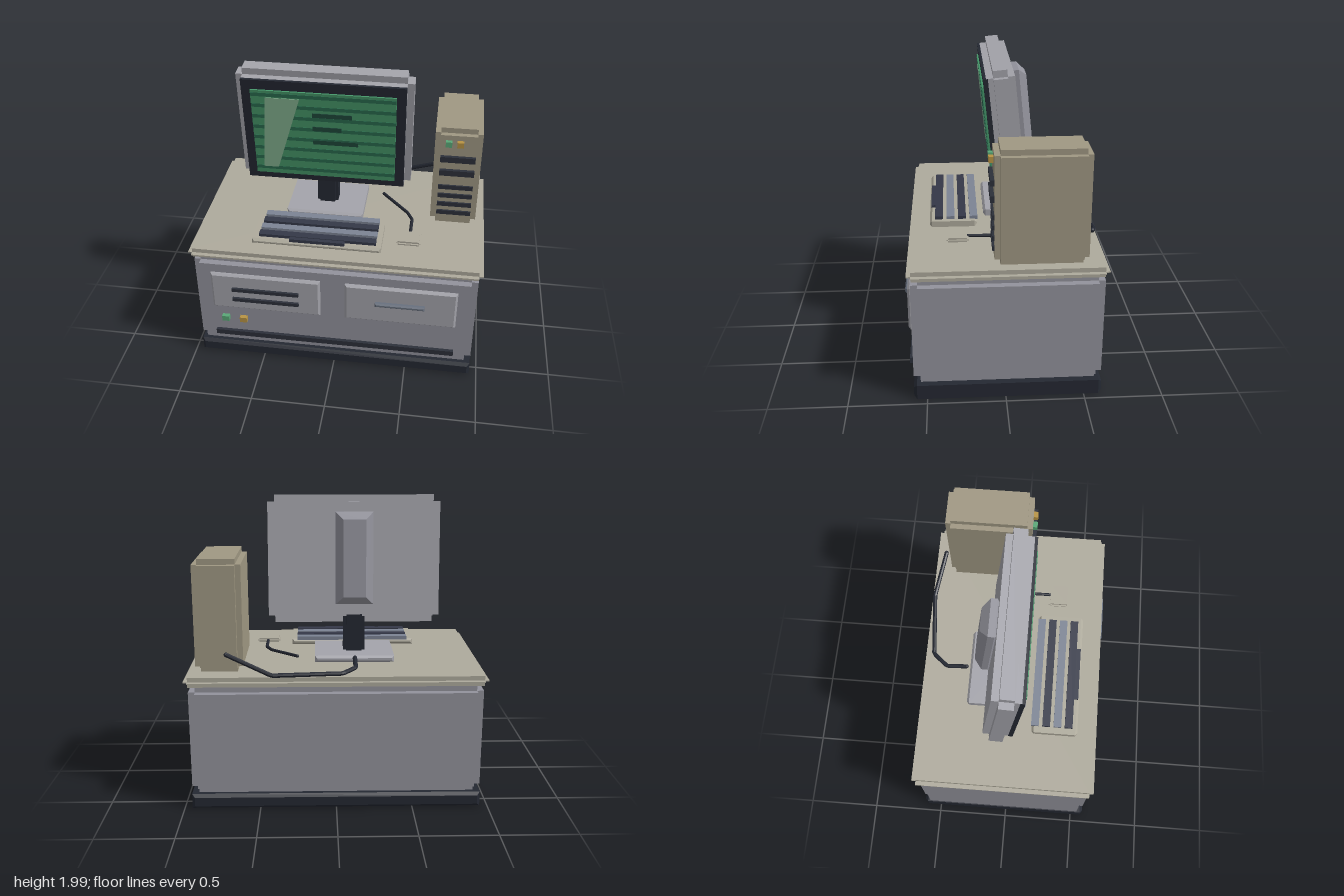
import * as THREE from 'three';

const COLORS = {
  steel: 0x93939c, panel: 0xa4a4ab, beige: 0xaeaa9c, tower: 0xa09883, dark: 0x242832, slot: 0x2c303a,
  key: 0x7c8494, darkKey: 0x343848, screen: 0x46986a, scan: 0x2a6e50, text: 0x1f4a3c,
  glare: 0x86b492, green: 0x5aa878, amber: 0xb89444, handle: 0x68707e,
};
const materials = {};
for (const k in COLORS) {
  materials[k] = new THREE.MeshStandardMaterial({ color: COLORS[k], flatShading: true });
}

function add(parent, name, geometry, color, x = 0, y = 0, z = 0) {
  const mesh = new THREE.Mesh(geometry, materials[color]);
  mesh.name = name;
  mesh.position.set(x, y, z);
  parent.add(mesh);
  return mesh;
}

// Plain box, centred
function box(parent, name, color, w, h, d, x, y, z) {
  return add(parent, name, new THREE.BoxGeometry(w, h, d), color, x, y, z);
}

// Box with stepped edges: three boxes, each full length along one axis only
function steppedBox(parent, name, color, w, h, d, x, y, z, s) {
  const g = new THREE.Group();
  g.name = name;
  g.position.set(x, y, z);
  const t = 2 * s;
  box(g, name + 'Across', color, w, h - t, d - t, 0, 0, 0);
  box(g, name + 'Upright', color, w - t, h, d - t, 0, 0, 0);
  box(g, name + 'Deep', color, w - t, h - t, d, 0, 0, 0);
  parent.add(g);
  return g;
}

// Box with single-cut chamfers on every edge
function chamferBox(parent, name, color, w, h, d, x, y, z, c) {
  const a = w / 2 - c, b = h / 2 - c;
  const shape = new THREE.Shape([[-a, -b], [a, -b], [a, b], [-a, b]].map(p => new THREE.Vector2(...p)));
  const geo = new THREE.ExtrudeGeometry(shape, {
    depth: d - 2 * c, bevelEnabled: true, bevelSize: c, bevelThickness: c, bevelSegments: 1,
  });
  geo.translate(0, 0, c - d / 2);
  return add(parent, name, geo, color, x, y, z);
}

// Cable made of straight runs
function cable(parent, name, points, radius) {
  const path = new THREE.CurvePath();
  const v = points.map(p => new THREE.Vector3(...p));
  for (let i = 1; i < v.length; i++) path.add(new THREE.LineCurve3(v[i - 1], v[i]));
  add(parent, name, new THREE.TubeGeometry(path, 48, radius, 8), 'dark');
  for (const p of [v[0], v[v.length - 1]]) {
    add(parent, name + 'End', new THREE.SphereGeometry(radius, 8, 6), 'dark', p.x, p.y, p.z);
  }
}

function buildCabinet(root) {
  const g = new THREE.Group();
  g.name = 'cabinet';
  root.add(g);
  chamferBox(g, 'plinth', 'dark', 1.9, 0.1, 1.2, 0, 0.05, -0.015, 0.02);
  steppedBox(g, 'cabinetBody', 'steel', 1.9, 0.74, 1.2, 0, 0.47, -0.015, 0.045);
  steppedBox(g, 'worktop', 'beige', 1.95, 0.065, 1.238, 0, 0.872, -0.014, 0.029);

  // Front panels with vents, pull and lights
  for (const x of [-0.458, 0.453]) chamferBox(g, 'frontPanel', 'panel', 0.745, 0.29, 0.05, x, 0.585, 0.583, 0.014);
  for (const y of [0.615, 0.532]) box(g, 'panelVent', 'slot', 0.455, 0.025, 0.03, -0.458, y, 0.61);
  chamferBox(g, 'drawerPull', 'handle', 0.33, 0.03, 0.035, 0.45, 0.6, 0.616, 0.009);
  box(g, 'greenLight', 'green', 0.05, 0.04, 0.04, -0.75, 0.345, 0.595);
  box(g, 'amberLight', 'amber', 0.05, 0.04, 0.04, -0.625, 0.345, 0.595);
  box(g, 'lowerStrip', 'slot', 1.655, 0.038, 0.03, 0, 0.211, 0.593);
}

function buildMonitor(root) {
  chamferBox(root, 'monitorBase', 'panel', 0.53, 0.045, 0.41, -0.128, 0.93, -0.1, 0.015);
  steppedBox(root, 'monitorNeck', 'dark', 0.145, 0.3, 0.13, -0.128, 1.075, -0.1, 0.02);

  // Head leans forward at the top
  const g = new THREE.Group();
  g.name = 'monitorHead';
  g.position.set(-0.128, 1.565, -0.035);
  g.rotation.x = 0.1;
  root.add(g);
  steppedBox(g, 'monitorCase', 'panel', 1.155, 0.855, 0.18, 0, 0, 0, 0.045);
  chamferBox(g, 'backHump', 'steel', 0.25, 0.61, 0.14, 0, 0.01, -0.12, 0.05);
  box(g, 'bezel', 'dark', 1.066, 0.772, 0.03, 0, -0.004, 0.094);
  box(g, 'screen', 'screen', 0.945, 0.655, 0.02, 0, -0.013, 0.11);
  for (let i = 0; i < 8; i++) box(g, 'scanLine', 'scan', 0.943, 0.026, 0.004, 0, 0.284 - i * 0.0825, 0.1205);
  [[0.26, 0.15], [0.19, 0.046], [0.3, -0.06]].forEach(([w, y]) =>
    box(g, 'screenBar', 'text', w, 0.032, 0.006, -0.073 + w / 2, y, 0.122));
  const glare = new THREE.Shape([[-0.42, -0.285], [-0.319, -0.285], [-0.152, 0.265], [-0.377, 0.265]]
    .map(p => new THREE.Vector2(...p)));
  add(g, 'screenGlare', new THREE.ExtrudeGeometry(glare, { depth: 0.004, bevelEnabled: false }), 'glare', 0, 0, 0.1215);
  box(g, 'powerLight', 'green', 0.06, 0.022, 0.03, 0.427, -0.408, 0.045);
}

function buildTower(root) {
  const g = new THREE.Group();
  g.name = 'tower';
  root.add(g);
  steppedBox(g, 'towerCase', 'tower', 0.31, 0.735, 0.58, 0.754, 1.2725, -0.222, 0.036);
  box(g, 'towerGreenLight', 'green', 0.042, 0.038, 0.04, 0.69, 1.55, 0.078);
  box(g, 'towerAmberLight', 'amber', 0.042, 0.038, 0.04, 0.765, 1.55, 0.078);
  [1.435, 1.333].forEach(y => box(g, 'driveBay', 'slot', 0.23, 0.04, 0.04, 0.755, y, 0.073));
  [1.215, 1.148, 1.08, 1.013].forEach(y => box(g, 'towerVent', 'slot', 0.23, 0.03, 0.03, 0.755, y, 0.066));
}

function buildKeyboardAndMouse(root) {
  const g = new THREE.Group();
  g.name = 'keyboard';
  root.add(g);
  chamferBox(g, 'keyboardBody', 'beige', 0.865, 0.04, 0.315, -0.132, 0.925, 0.312, 0.015);
  for (let i = 0; i < 4; i++) {
    box(g, 'keyRow', i % 2 ? 'darkKey' : 'key', 0.785, 0.025, 0.053, -0.128, 0.953, 0.176 + i * 0.077);
  }
  box(g, 'spaceBar', 'darkKey', 0.37, 0.022, 0.03, -0.126, 0.95, 0.447);
  steppedBox(root, 'mouse', 'beige', 0.165, 0.03, 0.145, 0.473, 0.92, 0.287, 0.012);
}

export function createModel() {
  const root = new THREE.Group();
  root.name = 'computerDesk';
  buildCabinet(root);
  buildMonitor(root);
  buildTower(root);
  buildKeyboardAndMouse(root);
  cable(root, 'mouseCable', [[0.255, 0.93, -0.22], [0.44, 0.918, -0.02], [0.478, 0.918, 0.06], [0.478, 0.92, 0.22]], 0.011);
  cable(root, 'powerCable', [[0.7, 1.04, -0.552], [0.41, 0.92, -0.615], [-0.04, 0.918, -0.572],
    [-0.128, 0.925, -0.47], [-0.128, 0.95, -0.33]], 0.015);
  return root;
}
